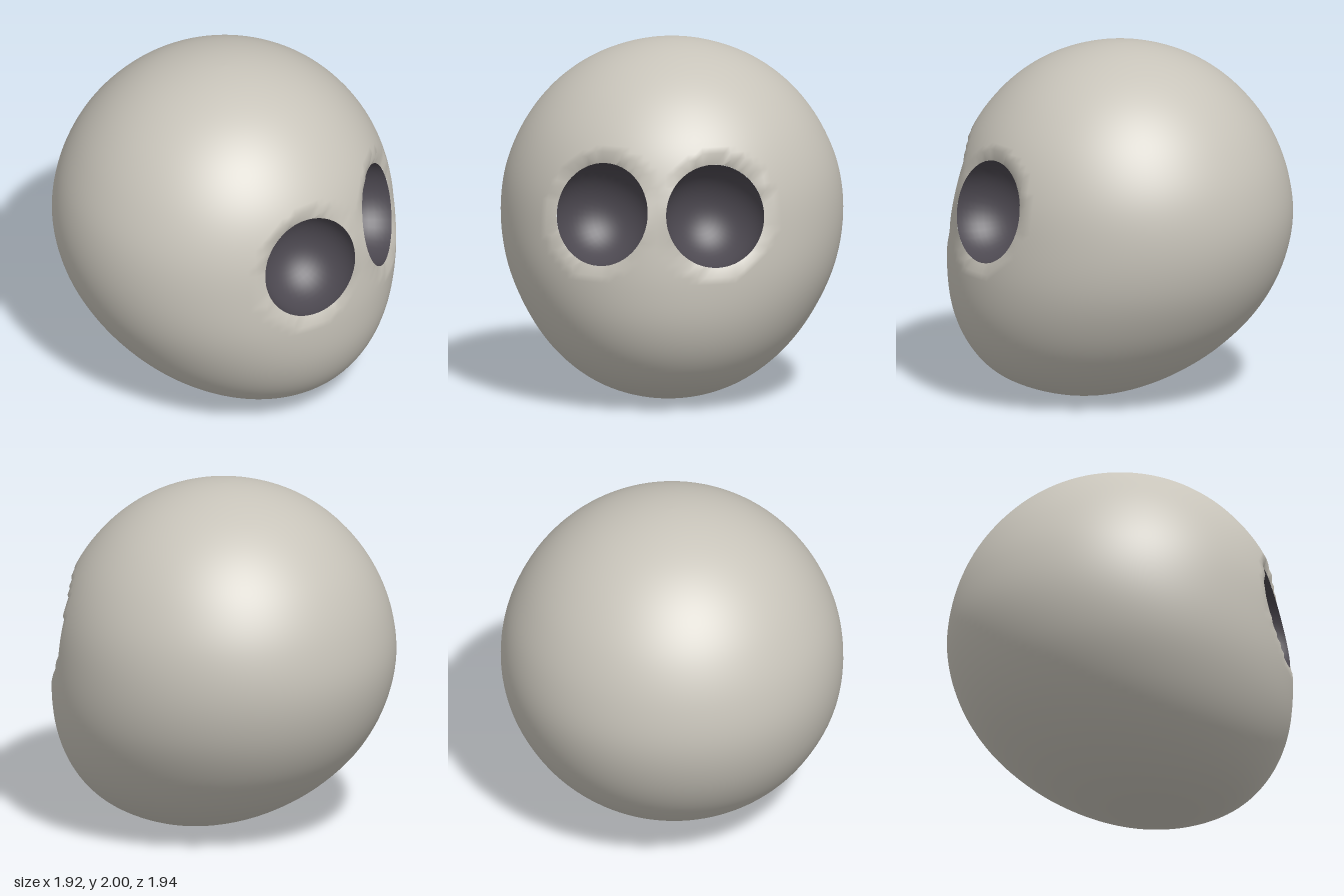
import * as THREE from 'three';

const SOCKET_RADIUS = 0.29;
const SNAP = 0.035;

// Head profile at equal steps from crown to chin: half width, front z, back depth
const profile = [
  [0, 0, 0], [0.25, 0.25, 0.25], [0.49, 0.485, 0.49], [0.69, 0.68, 0.69],
  [0.84, 0.83, 0.845], [0.935, 0.915, 0.94], [0.96, 0.955, 0.97], [0.92, 0.972, 0.915],
  [0.815, 0.945, 0.785], [0.665, 0.855, 0.58], [0.47, 0.7, 0.33], [0.245, 0.46, 0.06],
  [0, 0.2, -0.2],
].map((p) => new THREE.Vector3(...p));
const profileCurve = new THREE.CatmullRomCurve3(profile, false, 'catmullrom', 0.5);

// Eye openings, mirrored left and right
const sockets = [1, -1].map((side) => ({
  side,
  center: new THREE.Vector3(side * 0.318, 1.14, 0.825),
  axis: new THREE.Vector3(side * 0.44, 0.22, 1).normalize(),
}));

function headPoint(t, angle) {
  const { x: width, y: front, z: back } = profileCurve.getPoint(t);
  return new THREE.Vector3(
    Math.sin(angle) * width,
    1 + Math.cos(Math.PI * t),
    (front - back) / 2 + Math.cos(angle) * (front + back) / 2,
  );
}

// Pulls points near an opening onto its rim; returns true if the point is inside it
function fitToSocket(point, { center, axis }) {
  const offset = point.clone().sub(center);
  const along = offset.dot(axis);
  if (along < -0.3) return false;
  const radial = offset.addScaledVector(axis, -along);
  const distance = radial.length();
  if (Math.abs(distance - SOCKET_RADIUS) < SNAP) {
    point.copy(center).addScaledVector(radial, SOCKET_RADIUS / distance);
    return false;
  }
  return distance < SOCKET_RADIUS;
}

// Smooth shell with the two eye openings left out
function headGeometry(rows = 80, columns = 128) {
  const positions = [], inside = [], index = [];
  for (let i = 0; i <= rows; i++) {
    for (let j = 0; j < columns; j++) {
      const point = headPoint(i / rows, (j / columns) * Math.PI * 2);
      inside.push(sockets.some((socket) => fitToSocket(point, socket)));
      positions.push(point.x, point.y, point.z);
    }
  }
  const addFace = (...face) => {
    if (!face.some((v) => inside[v])) index.push(...face);
  };
  for (let i = 0; i < rows; i++) {
    for (let j = 0; j < columns; j++) {
      const next = (j + 1) % columns;
      const a = i * columns + j, b = i * columns + next;
      const c = a + columns, d = b + columns;
      if (i > 0) addFace(a, c, b);
      if (i < rows - 1) addFace(b, c, d);
    }
  }
  const geometry = new THREE.BufferGeometry();
  geometry.setAttribute('position', new THREE.Float32BufferAttribute(positions, 3));
  geometry.setIndex(index);
  geometry.computeVertexNormals();
  return geometry;
}

export function createModel() {
  const group = new THREE.Group();
  group.name = 'head';

  const shell = new THREE.Mesh(headGeometry(), new THREE.MeshStandardMaterial({ color: 0xc8c4ba }));
  shell.name = 'headShell';
  group.add(shell);

  // Hollow half-sphere bowls, seen from within
  const bowl = new THREE.SphereGeometry(SOCKET_RADIUS, 40, 14, 0, Math.PI * 2, 0, Math.PI / 2);
  const dark = new THREE.MeshStandardMaterial({ color: 0x4c4850, side: THREE.BackSide });
  for (const { side, center, axis } of sockets) {
    const socket = new THREE.Mesh(bowl, dark);
    socket.name = side > 0 ? 'leftEyeSocket' : 'rightEyeSocket';
    socket.position.copy(center);
    socket.quaternion.setFromUnitVectors(new THREE.Vector3(0, 1, 0), axis.clone().negate());
    group.add(socket);
  }
  return group;
}
